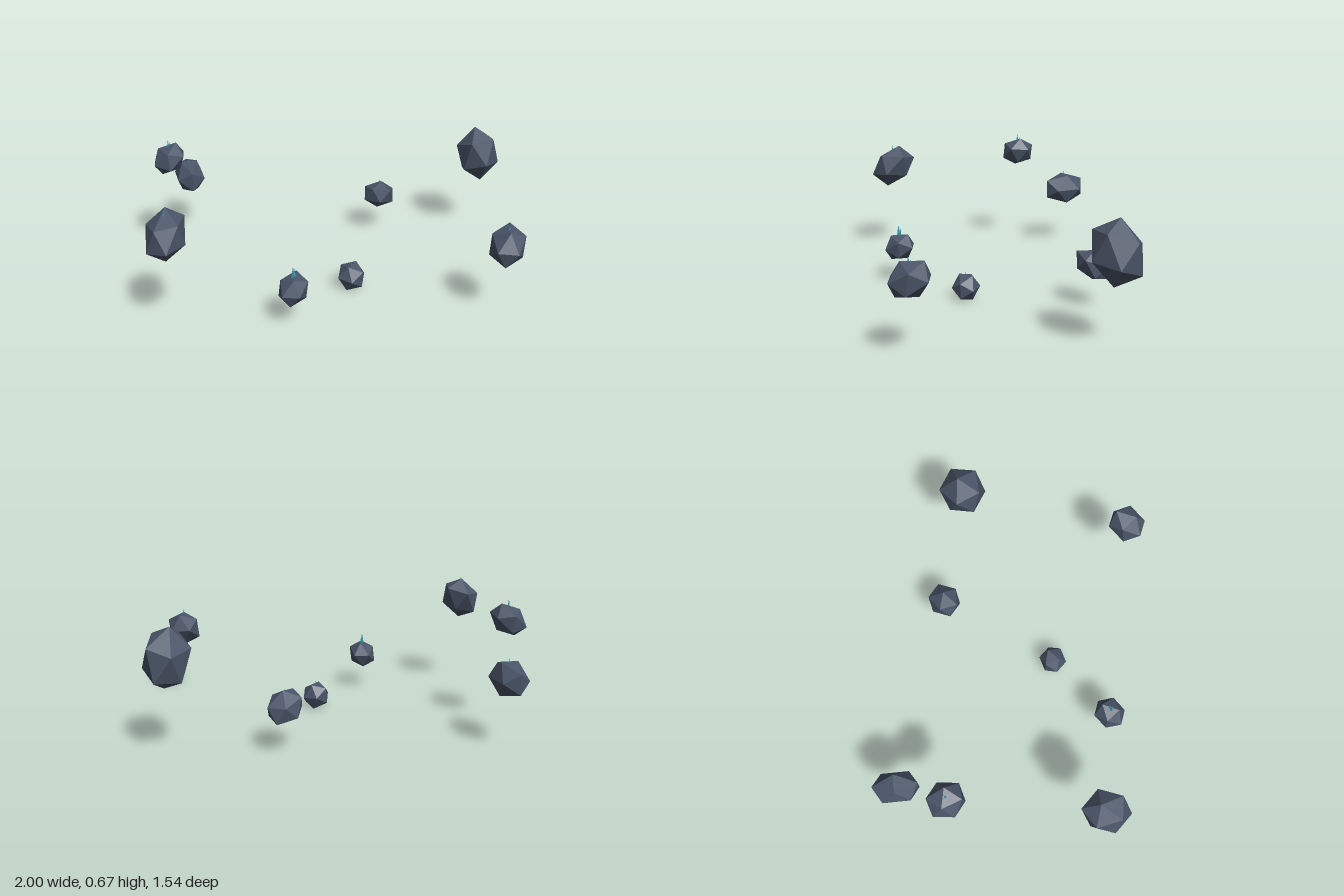
import * as THREE from 'three';
import { ConvexGeometry } from 'three/addons/geometries/ConvexGeometry.js';

// Each rock: centre, three neighbouring corners relative to it, height of its crystal tip
const ROCKS = [
  { at: [-0.905, 0.518, 0.332], a: [0.012, 0.12, -0.035], b: [0.096, 0.068, -0.035], c: [0.016, 0.045, -0.122], tip: 0.122 },
  { at: [-0.785, 0.572, -0.409], a: [0.04, 0.085, 0], b: [0.081, 0.02, -0.035], c: [0.008, 0.035, -0.09], tip: 0.103 },
  { at: [-0.655, 0.353, -0.661], a: [0.045, 0.083, 0], b: [-0.045, 0.083, 0], c: [0, 0.051, 0.112], tip: 0.103 },
  { at: [-0.347, 0.203, 0.454], a: [0.027, 0.074, -0.04], b: [-0.01, 0.066, 0.043], c: [0.067, 0.042, 0.025], tip: 0.122 },
  { at: [0.022, 0.07, 0.204], a: [0.033, 0.067, -0.025], b: [-0.025, 0.067, 0.028], c: [0.047, 0.035, 0.047], tip: 0.082 },
  { at: [0.365, 0.233, -0.354], a: [0.01, 0.08, 0], b: [0.093, 0.012, -0.025], c: [0.021, 0.015, -0.083], tip: 0.091 },
  { at: [0.643, 0.391, 0.668], a: [0.033, 0.087, -0.06], b: [-0.01, 0.083, 0.04], c: [0.08, 0.05, 0.025], tip: 0.107 },
  { at: [0.885, 0.481, -0.198], a: [-0.017, 0.153, -0.02], b: [0.1, 0.065, -0.05], c: [0, 0.03, -0.122], tip: 0 },
];

// A stretched icosahedron follows from one face: reflect each corner over the opposite edge, then mirror through the centre
function rockGeometry(a, b, c) {
  const k = (Math.sqrt(5) - 1) / 2;
  const across = (p, q, r) => p.clone().add(q).multiplyScalar(k).sub(r);
  const half = [a, b, c, across(a, b, c), across(a, c, b), across(b, c, a)];
  return new ConvexGeometry([...half, ...half.map((v) => v.clone().negate())]);
}

// Slim four-sided shard, its point at the local origin
function shardGeometry(radius, height) {
  const g = new THREE.ConeGeometry(radius, height, 4).toNonIndexed();
  g.translate(0, -height / 2, 0);
  g.computeVertexNormals();
  return g;
}

export function createModel() {
  const model = new THREE.Group();
  model.name = 'floatingRocks';

  const stone = new THREE.MeshStandardMaterial({ color: 0x4a5568 });
  stone.name = 'slate stone';
  const crystal = new THREE.MeshStandardMaterial({ color: 0x3a9fb0 });
  crystal.name = 'teal crystal';

  ROCKS.forEach(({ at, a, b, c, tip }, i) => {
    const group = new THREE.Group();
    group.name = `floatingRock${i + 1}`;
    group.position.set(...at);

    const corners = [a, b, c].map((p) => new THREE.Vector3(...p));
    const rock = new THREE.Mesh(rockGeometry(...corners), stone);
    rock.name = 'rock';
    group.add(rock);

    // Crystal growing out of the top, with a smaller shard beside it
    if (tip > 0) {
      const main = new THREE.Mesh(shardGeometry(0.012, 0.07), crystal);
      main.name = 'crystal';
      main.position.set(0, tip, 0.003);
      const side = new THREE.Mesh(shardGeometry(0.008, 0.05), crystal);
      side.name = 'smallCrystal';
      side.position.set(0.008, tip - 0.015, -0.008);
      side.rotation.x = -0.15;
      group.add(main, side);
    }
    model.add(group);
  });
  return model;
}
